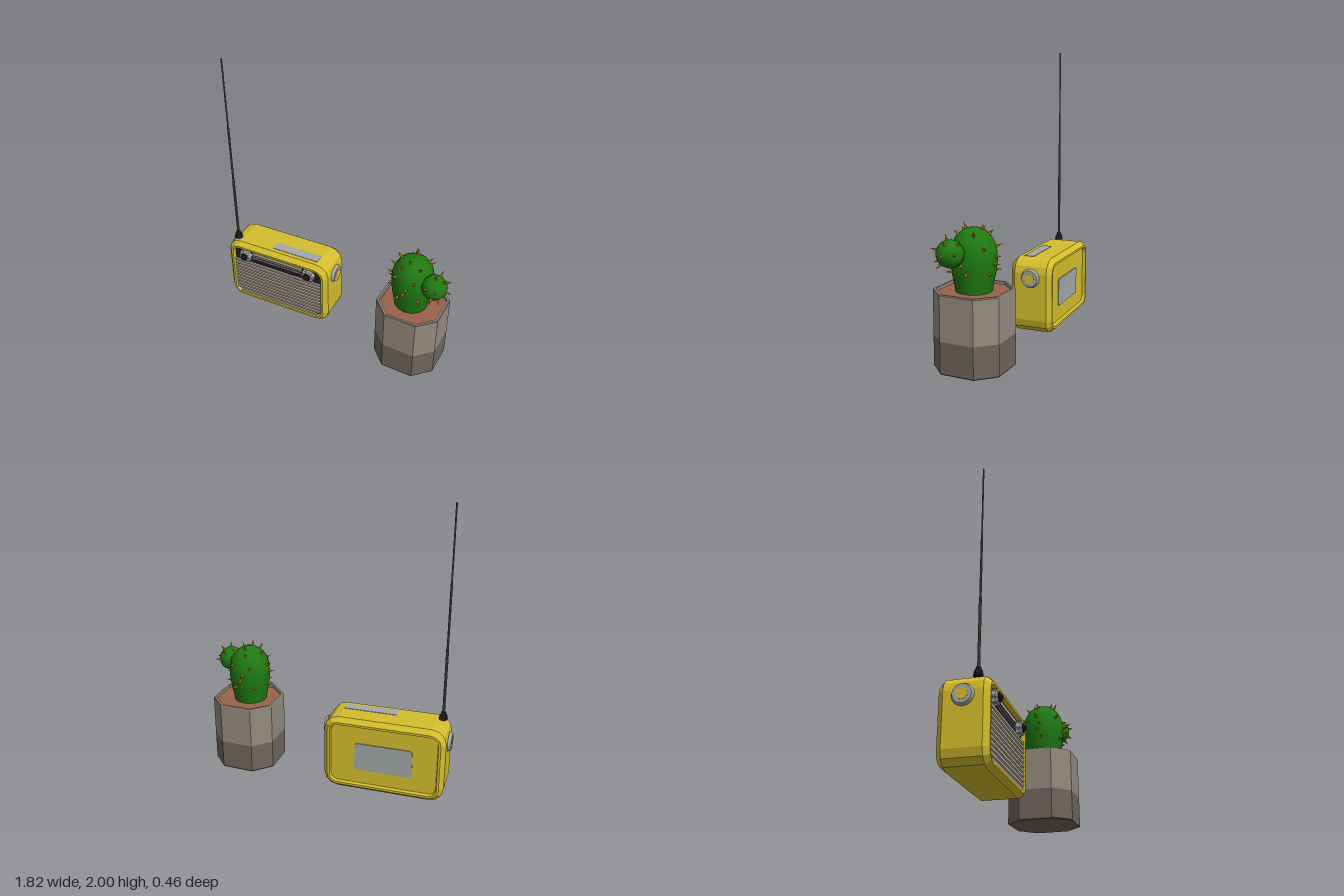
import * as THREE from 'three';

const mat = (name, color, flat = true) => {
  const m = new THREE.MeshStandardMaterial({ color, flatShading: flat });
  m.name = name;
  return m;
};

// Flat-faced skin over a list of rings (counter-clockwise seen from +z), closed at both ends
function loft(rings) {
  const pos = [];
  const tri = (...pts) => pts.forEach(p => pos.push(p[0], p[1], p[2]));
  const n = rings[0].length, last = rings[rings.length - 1];
  for (let i = 0; i < rings.length - 1; i++) for (let j = 0; j < n; j++) {
    const k = (j + 1) % n;
    const a = rings[i][j], b = rings[i][k], c = rings[i + 1][k], d = rings[i + 1][j];
    tri(a, b, c);
    tri(a, c, d);
  }
  for (let j = 1; j < n - 1; j++) {
    tri(rings[0][0], rings[0][j + 1], rings[0][j]);
    tri(last[0], last[j], last[j + 1]);
  }
  const g = new THREE.BufferGeometry();
  g.setAttribute('position', new THREE.Float32BufferAttribute(pos, 3));
  g.computeVertexNormals();
  return g;
}

// Rounded rectangle ring at depth z
function roundRect(w, h, r, z, steps = 3) {
  const pts = [];
  [[1, 1], [-1, 1], [-1, -1], [1, -1]].forEach(([sx, sy], q) => {
    for (let i = 0; i <= steps; i++) {
      const a = (q + i / steps) * Math.PI / 2;
      pts.push([sx * (w - r) + r * Math.cos(a), sy * (h - r) + r * Math.sin(a), z]);
    }
  });
  return pts;
}

const plate = (w, h, r, z0, z1) => loft([roundRect(w, h, r, z0), roundRect(w, h, r, z1)]);

// Toothed ring outline for the dials
const gearRing = (r, z) => Array.from({ length: 32 }, (_, i) => {
  const a = i * Math.PI / 16, q = i % 4 < 2 ? r : r * 0.86;
  return [q * Math.cos(a), q * Math.sin(a), z];
});

export function createModel() {
  const yellow = mat('yellow', 0xd4be2c), dark = mat('black', 0x1f1d1f);
  const metal = mat('metalGrey', 0xa3a8aa), slat = mat('beige', 0xb5aa9c);
  const rodGrey = mat('rodGrey', 0x555a54), soilMat = mat('soilBrown', 0x9a624b);
  const taupe = mat('taupe', 0x958b7e), darkTaupe = mat('darkTaupe', 0x6e665b);
  const green = mat('green', 0x1f7a13, false), orange = mat('orange', 0xc98a1c);

  const model = new THREE.Group();
  const add = (parent, name, geo, material, x = 0, y = 0, z = 0) => {
    const m = new THREE.Mesh(geo, material);
    m.name = name;
    m.position.set(x, y, z);
    parent.add(m);
    return m;
  };

  // ---- Radio, turned slightly about its own centre ----
  const radio = new THREE.Group();
  radio.name = 'radio';
  radio.position.set(-0.465, 0.277, -0.063);
  radio.rotation.y = 0.043;
  model.add(radio);

  // Case with bevelled edges and recessed front and back
  const section = [[0.052, -0.128], [0.046, -0.152], [0.03, -0.152], [0, -0.118],
    [0, 0.118], [0.03, 0.152], [0.046, 0.152], [0.052, 0.122]];
  add(radio, 'case', loft(section.map(([s, z]) => roundRect(0.42 - s, 0.268 - s, 0.1 - s, z))), yellow);
  add(radio, 'frontPanel', plate(0.367, 0.215, 0.045, 0.121, 0.126), dark);
  add(radio, 'backPlate', plate(0.2, 0.1, 0.02, -0.134, -0.127), metal, 0, -0.01);
  const hatch = plate(0.186, 0.036, 0.008, 0, 0.004);
  hatch.rotateX(-Math.PI / 2);
  add(radio, 'topPlate', hatch, metal, 0.13, 0.267, 0.052);

  // Speaker disc behind the grille
  add(radio, 'speaker', new THREE.CircleGeometry(0.15, 28), yellow, -0.172, -0.06, 0.1275);
  add(radio, 'speakerLowerEdge', new THREE.CircleGeometry(0.15, 8, Math.PI * 1.3, Math.PI * 0.4),
    soilMat, -0.172, -0.06, 0.1285);

  // Grille slats
  for (let i = 0; i < 11; i++) {
    const w = i > 9 ? 0.67 : 0.73;
    add(radio, 'grilleSlat', new THREE.BoxGeometry(w, 0.016, 0.014), slat, 0, 0.096 - i * 0.0305, 0.137);
  }

  // Tuning scale
  add(radio, 'scaleBar', new THREE.BoxGeometry(0.42, 0.022, 0.008), slat, 0, 0.19, 0.129);
  for (const y of [0.165, 0.145]) {
    add(radio, 'scaleLine', new THREE.BoxGeometry(0.42, 0.007, 0.006), slat, 0, y, 0.128);
  }

  for (const s of [-1, 1]) {
    // Front dials
    const dial = new THREE.Group();
    dial.name = 'frontDial';
    dial.position.set(s * 0.267, 0.163, 0.125);
    radio.add(dial);
    add(dial, 'dialRing', loft([gearRing(0.052, 0), gearRing(0.052, 0.03), gearRing(0.042, 0.04)]), metal);
    const face = new THREE.CylinderGeometry(0.03, 0.03, 0.008, 16).rotateX(Math.PI / 2);
    add(dial, 'dialFace', face, dark, 0, 0, 0.04);
    const knob = new THREE.CylinderGeometry(0.018, 0.022, 0.02, 12).rotateX(Math.PI / 2);
    add(dial, 'dialKnob', knob, dark, 0, 0, 0.048);

    // Side wheels
    const wheel = new THREE.Group();
    wheel.name = 'sideWheel';
    wheel.position.set(s * 0.42, 0.137, 0);
    wheel.rotation.z = -s * Math.PI / 2;
    radio.add(wheel);
    add(wheel, 'wheelRim', new THREE.CylinderGeometry(0.058, 0.068, 0.022, 16), metal, 0, 0.011);
    add(wheel, 'wheelCap', new THREE.CylinderGeometry(0.036, 0.036, 0.005, 16), yellow, 0, 0.022);
  }

  // ---- Telescopic antenna ----
  const antenna = new THREE.Group();
  antenna.name = 'antenna';
  antenna.position.set(-0.826, 0, 0.022);
  model.add(antenna);
  add(antenna, 'antennaBase', new THREE.CylinderGeometry(0.026, 0.031, 0.03, 10), dark, 0, 0.555);
  add(antenna, 'antennaJoint', new THREE.CylinderGeometry(0.014, 0.024, 0.028, 10), dark, 0, 0.582);
  [[0.58, 1.05, 0.0095], [1.05, 1.5, 0.0075], [1.5, 2, 0.0055]].forEach(([y0, y1, r]) => {
    add(antenna, 'antennaRod', new THREE.CylinderGeometry(r, r, y1 - y0, 8), rodGrey, 0, (y0 + y1) / 2);
  });

  // ---- Eight-sided pot ----
  const plant = new THREE.Group();
  plant.name = 'pottedCactus';
  plant.position.x = 0.615;
  model.add(plant);
  const octagon = (a, y) => roundRect8(a, y);
  function roundRect8(a, y) {
    const h = a * 0.5;
    return [[a, -h], [a, h], [h, a], [-h, a], [-a, h], [-a, -h], [-h, -a], [h, -a]].map(p => [...p, y]);
  }
  const upright = rings => loft(rings).rotateX(-Math.PI / 2);
  add(plant, 'potLower', upright([octagon(0.226, 0), octagon(0.23, 0.006), octagon(0.23, 0.208)]), darkTaupe);
  add(plant, 'potUpper', upright([octagon(0.23, 0.208), octagon(0.23, 0.494), octagon(0.226, 0.5),
    octagon(0.212, 0.5), octagon(0.21, 0.47)]), taupe);
  add(plant, 'soil', upright([octagon(0.21, 0.468), octagon(0.21, 0.482)]), soilMat);

  // ---- Cactus ----
  const cactus = new THREE.Group();
  cactus.name = 'cactus';
  cactus.position.set(-0.012, 0, 0.008);
  plant.add(cactus);
  const profile = [[0.115, 0.47], [0.125, 0.53], [0.139, 0.6], [0.148, 0.67], [0.147, 0.73],
    [0.133, 0.79], [0.104, 0.84], [0.06, 0.873], [0, 0.887]].map(p => new THREE.Vector2(...p));
  add(cactus, 'cactusBody', new THREE.LatheGeometry(profile, 14), green);
  const arm = new THREE.Vector3(0.178, 0.743, 0.065);
  const armMesh = add(cactus, 'cactusArm', new THREE.SphereGeometry(0.088, 12, 9), green, arm.x, arm.y, arm.z);
  armMesh.rotation.z = -0.5;

  // Spines: thin cones pointing away from the surface
  const up = new THREE.Vector3(0, 1, 0);
  const spineGeo = new THREE.ConeGeometry(0.013, 0.05, 5).translate(0, 0.016, 0);
  const spine = (p, dir) => {
    const m = add(cactus, 'spine', spineGeo, orange, p.x, p.y, p.z);
    m.quaternion.setFromUnitVectors(up, dir.clone().normalize());
  };
  // height, radius, upward tilt, count, starting angle
  [[0.61, 0.14, -0.05, 6, 0.9], [0.665, 0.147, 0, 4, 0.05], [0.71, 0.147, 0.05, 4, 1.5],
    [0.765, 0.14, 0.35, 6, 0.1], [0.845, 0.1, 1.1, 5, 0.75], [0.872, 0.055, 2.2, 2, 1.6]]
    .forEach(([y, r, tilt, n, start]) => {
      for (let i = 0; i < n; i++) {
        const a = start + i * 2 * Math.PI / n;
        const dir = new THREE.Vector3(Math.cos(a), tilt, Math.sin(a));
        const p = new THREE.Vector3(dir.x * r, y, dir.z * r);
        if (p.distanceTo(arm) > 0.1) spine(p, dir);
      }
    });
  [[1, 0, 0.1], [0.75, 0.8, 0], [0.1, 1, 0.2], [-0.4, 0.35, 0.9], [0.4, 0.3, 0.9], [0.5, -0.7, 0.5],
    [0.7, 0.1, -0.75], [0.1, -0.5, 0.9], [0.2, 0.7, -0.7]].forEach(d => {
    const dir = new THREE.Vector3(...d).normalize();
    spine(arm.clone().addScaledVector(dir, 0.085), dir);
  });

  return model;
}
